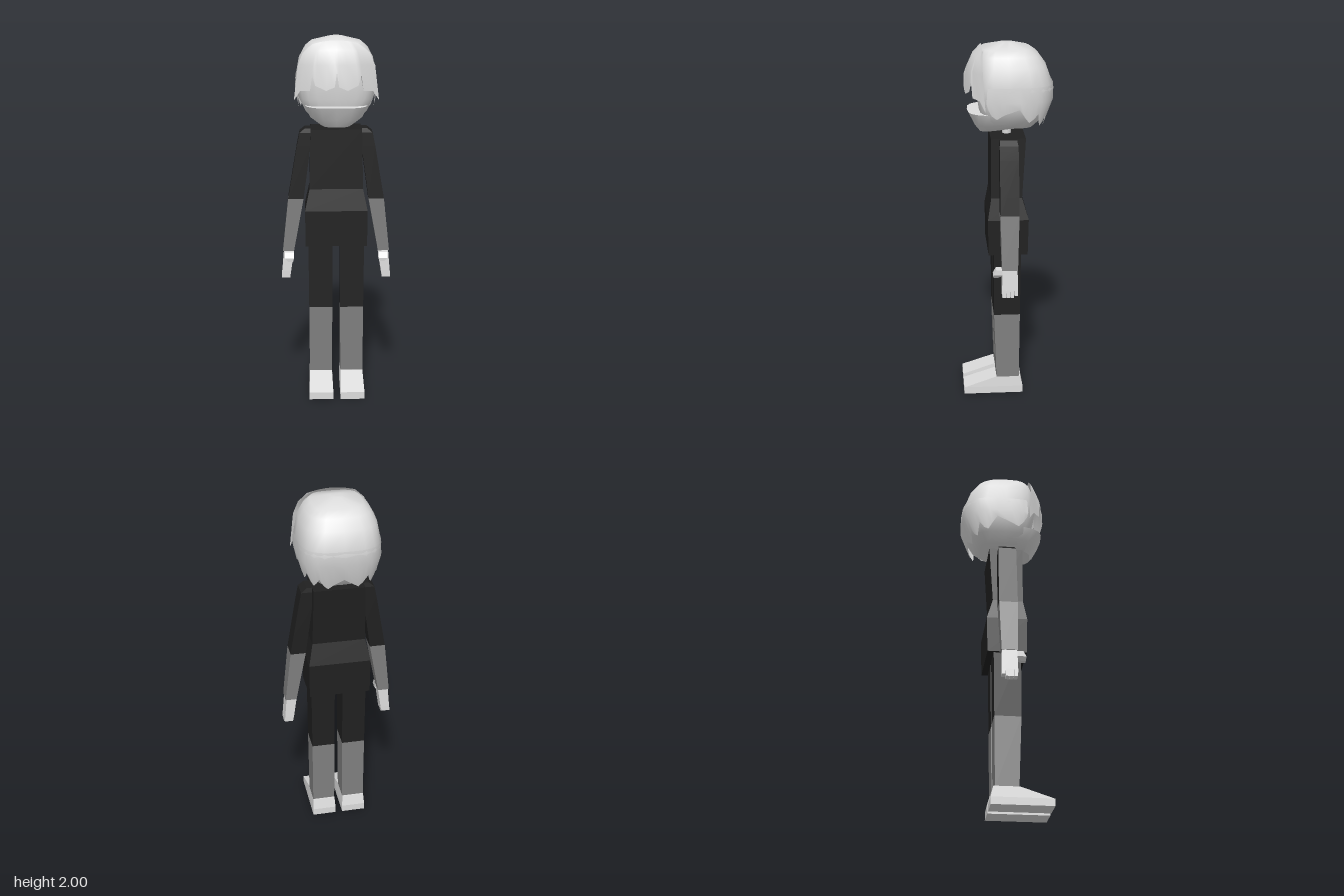
import * as THREE from 'three';
import { toCreasedNormals } from 'three/addons/utils/BufferGeometryUtils.js';

const mat = (name, color, side = THREE.FrontSide) =>
  Object.assign(new THREE.MeshStandardMaterial({ color, side }), { name });

function makeGeometry(points, index) {
  const g = new THREE.BufferGeometry();
  g.setAttribute('position', new THREE.Float32BufferAttribute(points.flat(), 3));
  g.setIndex(index);
  g.computeVertexNormals();
  return g;
}

// Closed solid through rings listed bottom to top, each counter-clockwise from above
function loft(rings, crease = 0.05) {
  const n = rings[0].length, idx = [], last = (rings.length - 1) * n;
  for (let i = 0; i < rings.length - 1; i++)
    for (let j = 0; j < n; j++) {
      const a = i * n + j, b = i * n + (j + 1) % n;
      idx.push(a, b, b + n, a, b + n, a + n);
    }
  for (let j = 1; j < n - 1; j++) idx.push(0, j + 1, j, last, last + j, last + j + 1);
  return toCreasedNormals(makeGeometry(rings.flat(), idx), crease);
}

// Open sheet through rows listed top to bottom
function sheet(rows) {
  const n = rows[0].length, idx = [];
  for (let i = 0; i < rows.length - 1; i++)
    for (let j = 0; j < n - 1; j++) {
      const a = i * n + j, b = a + n;
      idx.push(a, b, b + 1, a, b + 1, a + 1);
    }
  return makeGeometry(rows.flat(), idx);
}

// Flat-sided limb: rows of [y, x0, x1, zBack, zFront], mirrored by s
const limb = (rows, s = 1) => loft(rows.map(([y, x0, x1, zb, zf]) => {
  const [l, r] = s > 0 ? [x0, x1] : [-x1, -x0];
  return [[r, y, zf], [r, y, zb], [l, y, zb], [l, y, zf]];
}));

// Point on a rounded-square section
function around(a, y, w, zf, zb) {
  const p = (v) => Math.sign(v) * Math.abs(v) ** 0.6;
  const s = -p(Math.sin(a));
  return [w * p(Math.cos(a)), y, s > 0 ? s * zf : s * zb];
}
const ring = ([y, w, zf, zb], tilt = 0) => Array.from({ length: 20 }, (_, i) => {
  const q = around(i / 20 * Math.PI * 2, y, w, zf, zb);
  return [q[0], y - q[2] * tilt, q[2]];
});

export function createModel() {
  const black = mat('black cloth', 0x202020);
  const grey = mat('grey skin', 0x7f7f7f);
  const pale = mat('pale', 0xdcdcdc);
  const paleSheet = mat('pale hair', 0xdcdcdc, THREE.DoubleSide);
  const model = new THREE.Group();
  const add = (name, geo, m) => {
    const mesh = new THREE.Mesh(geo, m);
    mesh.name = name;
    model.add(mesh);
  };

  // Shirt
  add('shirt', limb([
    [0.85, -0.17, 0.17, -0.105, 0.11], [1.05, -0.172, 0.172, -0.11, 0.113],
    [1.17, -0.147, 0.147, -0.075, 0.093], [1.5, -0.14, 0.14, -0.095, 0.093],
  ]), black);

  // Arms and legs
  for (const s of [1, -1]) {
    const side = s > 0 ? 'left' : 'right';
    add(side + 'Sleeve', limb([
      [1.105, 0.18, 0.265, -0.052, 0.05], [1.4, 0.14, 0.215, -0.052, 0.05],
      [1.475, 0.12, 0.2, -0.05, 0.05], [1.5, 0.12, 0.17, -0.045, 0.045],
    ], s), black);
    add(side + 'Forearm', limb([
      [0.805, 0.235, 0.297, -0.042, 0.044], [1.105, 0.18, 0.265, -0.052, 0.05],
    ], s), grey);
    add(side + 'Hand', limb([
      [0.69, 0.252, 0.302, -0.042, 0.045], [0.805, 0.235, 0.292, -0.04, 0.042],
    ], s), pale);
    for (let f = 0; f < 4; f++) {
      const z = -0.042 + f * 0.022;
      const tip = 0.65 + (f === 0 ? 0.012 : 0);
      add(side + 'Finger', limb([
        [tip, 0.258, 0.305, z, z + 0.02], [0.692, 0.252, 0.302, z, z + 0.021],
      ], s), pale);
    }
    add(side + 'Thumb', limb([
      [0.755, 0.24, 0.268, 0.065, 0.09], [0.775, 0.235, 0.285, 0.03, 0.092],
      [0.805, 0.235, 0.285, 0.03, 0.075],
    ], s), pale);

    add(side + 'Shorts', limb([
      [0.485, 0.022, 0.152, -0.065, 0.08], [0.87, 0.022, 0.155, -0.07, 0.08],
    ], s), black);
    add(side + 'Shin', limb([
      [0.09, 0.024, 0.15, -0.06, 0.067], [0.485, 0.022, 0.152, -0.065, 0.08],
    ], s), grey);
    add(side + 'Shoe', limb([
      [0, 0.02, 0.154, -0.082, 0.252], [0.04, 0.02, 0.154, -0.082, 0.252],
      [0.0401, 0.02, 0.154, -0.082, 0.25], [0.1, 0.024, 0.15, -0.068, 0.07],
    ], s), pale);
  }

  // Neck and head
  const neck = new THREE.CylinderGeometry(0.025, 0.025, 0.1, 8);
  neck.translate(0, 1.52, 0);
  add('neck', neck, pale);
  add('head', loft([
    [1.55, 0.12, 0.12, 0.14], [1.6, 0.17, 0.145, 0.19], [1.67, 0.205, 0.155, 0.225],
    [1.77, 0.221, 0.175, 0.25], [1.885, 0.2, 0.165, 0.208],
    [1.94, 0.17, 0.15, 0.168], [1.97, 0.135, 0.135, 0.125], [1.998, 0.03, 0.03, 0.03],
  ].map((r) => ring(r)), 1.1), pale);

  // Jutting jaw with a flat ledge on top
  add('jaw', loft([
    [1.54, 0.09, 0.15, 0.14], [1.575, 0.145, 0.18, 0.12], [1.635, 0.175, 0.215, 0.1],
  ].map((r, i) => ring(r, [0.12, 0.06, 0][i])), 0.7), pale);

  // Fringe: shell over the forehead with notched lower edge
  const half = [[1, 1.665], [0.85, 1.72], [0.62, 1.725], [0.57, 1.81], [0.5, 1.755], [0.25, 1.73], [0.05, 1.75]];
  const edge = [...half.map(([u, y]) => [-u, y]), [0, 1.83], ...half.slice().reverse()];
  add('fringe', sheet([
    edge.map(([u]) => [0.13 * u, 1.985 - 0.02 * u * u, 0.135]),
    edge.map(([u]) => [0.178 * u, 1.94 - 0.02 * u * u, 0.182 - 0.045 * u * u]),
    edge.map(([u]) => [0.205 * u, 1.865 - 0.01 * u * u, 0.217 - 0.08 * u * u]),
    edge.map(([u, y]) => [0.228 * u, y, 0.23 - 0.105 * u * u]),
  ]), paleSheet);

  // Hair around the sides and back, ending in pointed locks
  const cols = Array.from({ length: 33 }, (_, j) => -0.4 + (Math.PI + 0.8) * j / 32);
  add('backHair', sheet([
    cols.map((a) => around(a, 1.79, 0.219, 0.2, 0.246)),
    cols.map((a) => around(a, 1.71, 0.222, 0.21, 0.247)),
    cols.map((a, j) => {
      const y = 1.62 - 0.065 * Math.max(0, Math.sin(a)) + [0.06, 0.02, 0, 0.025][j % 4];
      const k = (y - 1.55) / 0.16;
      return around(a, y, 0.187 + 0.035 * k, 0.2, 0.188 + 0.059 * k);
    }),
  ]), paleSheet);

  return model;
}
